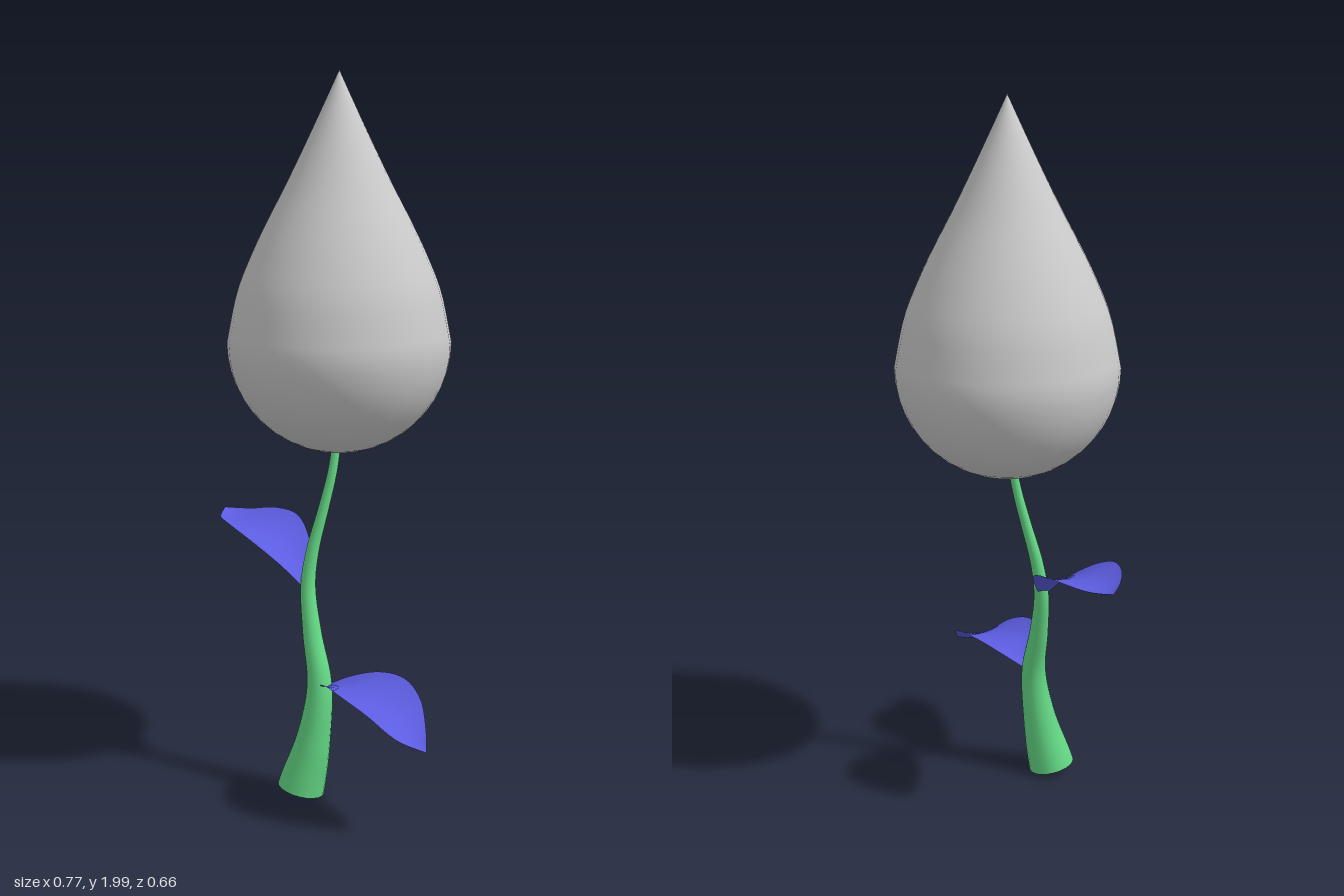
import * as THREE from 'three';

const V3 = (x, y, z) => new THREE.Vector3(x, y, z);
const grey = new THREE.MeshStandardMaterial({ color: 0xcccccc });
const green = new THREE.MeshStandardMaterial({ color: 0x66dd88 });
const blue = new THREE.MeshStandardMaterial({ color: 0x5c5ce0, side: THREE.DoubleSide });

function add(parent, name, geometry, material) {
  const mesh = new THREE.Mesh(geometry, material);
  mesh.name = name;
  parent.add(mesh);
  return mesh;
}

// Smooth curve through [position, value] pairs
const spline = (pairs) => new THREE.SplineCurve(pairs.map(([a, b]) => new THREE.Vector2(a, b)));

// Teardrop bud: round below, drawn out to a point above
function budGeometry() {
  const R = 0.305, cy = 1.277, pts = [];
  for (let i = 0; i <= 12; i++) {
    const a = (i / 12 - 1) * Math.PI / 2;
    pts.push(new THREE.Vector2(R * Math.cos(a), cy + R * Math.sin(a)));
  }
  const upper = spline([[R, cy], [0.277, 1.41], [0.238, 1.51], [0.195, 1.6], [0.148, 1.69],
    [0.101, 1.785], [0.05, 1.892], [0, 2]]);
  pts.push(...upper.getPoints(24).slice(1));
  return new THREE.LatheGeometry(pts, 40);
}

// Curved stem: a tube whose rings are scaled to taper upwards
function addStem(parent) {
  const path = new THREE.CatmullRomCurve3([
    V3(-0.043, 0.026, 0.125), V3(-0.011, 0.17, 0.112), V3(0.002, 0.33, 0.097), V3(-0.028, 0.47, 0.076),
    V3(-0.048, 0.6, 0.055), V3(-0.039, 0.7, 0.042), V3(-0.015, 0.81, 0.026), V3(0.007, 0.92, 0.01),
    V3(0.016, 1.02, -0.005)]);
  const radius = spline([[0, 0.066], [0.15, 0.046], [0.3, 0.033], [0.45, 0.024], [0.6, 0.018], [0.8, 0.014], [1, 0.012]]);
  const rings = 48, sides = 20;
  const geo = new THREE.TubeGeometry(path, rings, 1, sides);
  const pos = geo.attributes.position, p = V3();
  for (let i = 0; i <= rings; i++) {
    const c = path.getPointAt(i / rings), r = radius.getPoint(i / rings).y;
    for (let j = 0; j <= sides; j++) {
      const k = i * (sides + 1) + j;
      p.fromBufferAttribute(pos, k).sub(c).multiplyScalar(r).add(c);
      pos.setXYZ(k, p.x, p.y, p.z);
    }
  }
  add(parent, 'stem', geo, green);

  const cap = add(parent, 'stemBase', new THREE.CircleGeometry(0.066, sides), green);
  cap.position.copy(path.getPointAt(0));
  cap.quaternion.setFromUnitVectors(V3(0, 0, 1), path.getTangentAt(0).negate());
}

// Cupped leaf from base to tip; rib lists midrib heights along the leaf
function leafGeometry(base, tip, rib) {
  const nu = 28, nv = 12;
  const geo = new THREE.PlaneGeometry(1, 1, nv, nu);
  const pos = geo.attributes.position;
  const along = V3(tip.x - base.x, 0, tip.z - base.z);
  const across = V3(along.z, 0, -along.x).normalize();
  const ribCurve = spline(rib);
  const width = spline([[0, 0.008], [0.12, 0.052], [0.3, 0.093], [0.5, 0.112], [0.7, 0.094], [0.86, 0.052], [1, 0]]);
  for (let k = 0; k < pos.count; k++) {
    const u = pos.getY(k) + 0.5, v = pos.getX(k) * 2;
    const w = width.getPoint(u), h = ribCurve.getPoint(u);
    const p = base.clone().addScaledVector(along, w.x).addScaledVector(across, v * w.y);
    pos.setXYZ(k, p.x, h.y + 0.03 * v * v * w.y / 0.112, p.z);
  }
  geo.computeVertexNormals();
  return geo;
}

export function createModel() {
  const model = new THREE.Group();
  model.name = 'flowerBud';

  const bud = add(model, 'bud', budGeometry(), grey);
  bud.position.set(0.012, 0, -0.026);

  addStem(model);

  add(model, 'lowerLeaf', leafGeometry(V3(0.015, 0, 0.1), V3(0.387, 0, 0.31),
    [[0, 0.325], [0.15, 0.345], [0.32, 0.36], [0.5, 0.355], [0.68, 0.328], [0.86, 0.283], [1, 0.268]]), blue);
  add(model, 'upperLeaf', leafGeometry(V3(-0.05, 0, 0.06), V3(-0.388, 0, -0.14),
    [[0, 0.59], [0.15, 0.64], [0.3, 0.685], [0.5, 0.715], [0.68, 0.725], [0.86, 0.727], [1, 0.742]]), blue);

  return model;
}
